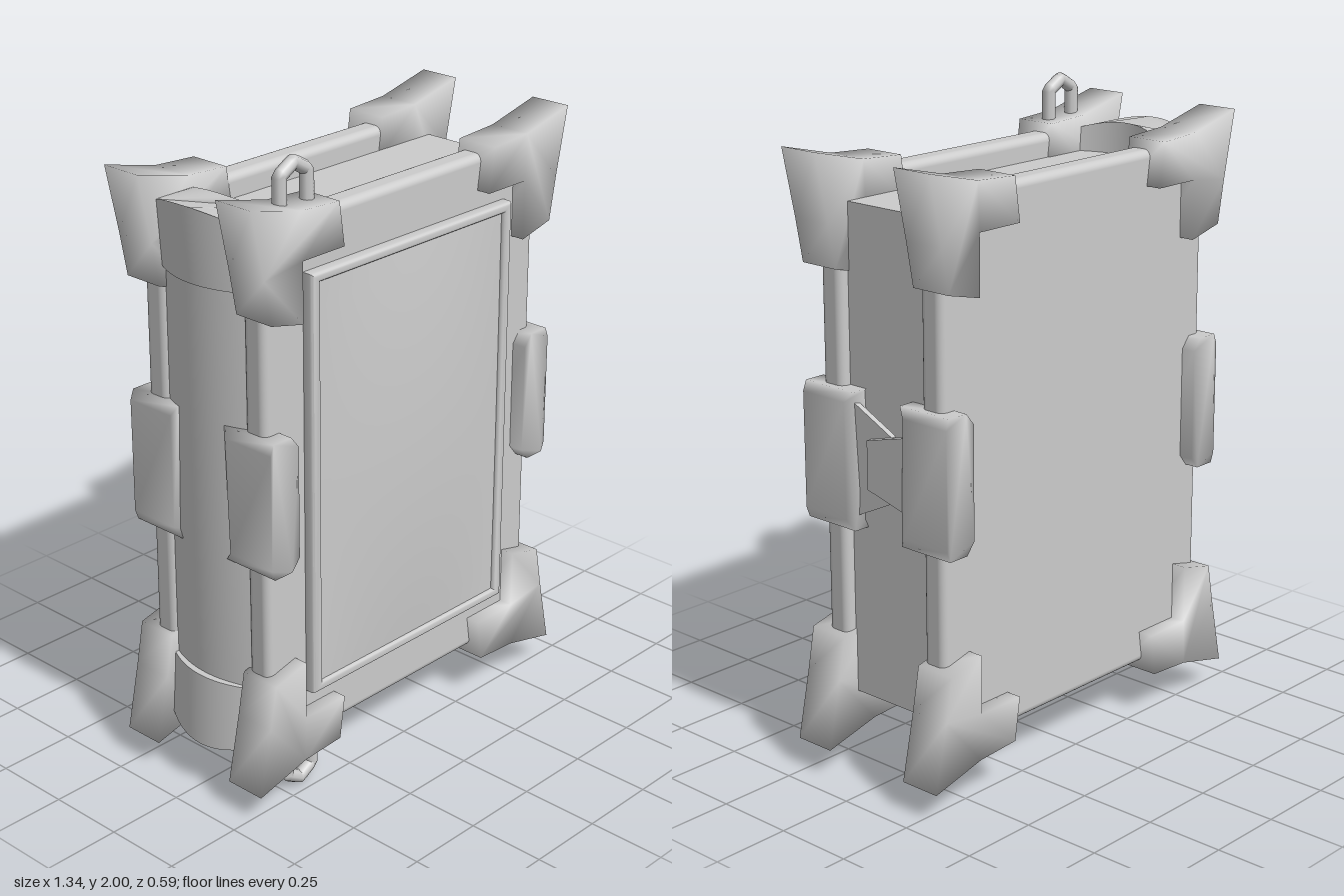
import * as THREE from 'three';
import { mergeVertices, toCreasedNormals } from 'three/addons/utils/BufferGeometryUtils.js';
import { RoundedBoxGeometry } from 'three/addons/geometries/RoundedBoxGeometry.js';

const material = new THREE.MeshStandardMaterial({ color: 0xcccccc });
const MID = 1; // height of the horizontal mirror plane

const shapeOf = (pts) => new THREE.Shape(pts.map(([x, y]) => new THREE.Vector2(x, y)));

const extrude = (shape, depth, options = {}) =>
  new THREE.ExtrudeGeometry(shape, { depth, bevelEnabled: false, ...options });

// Apply a rule to every vertex
function reshape(geometry, rule) {
  const p = geometry.attributes.position;
  const v = new THREE.Vector3();
  for (let i = 0; i < p.count; i++) {
    rule(v.fromBufferAttribute(p, i));
    p.setXYZ(i, v.x, v.y, v.z);
  }
  geometry.computeVertexNormals();
  return geometry;
}

// Share normals over all edges for a soft, cast-metal look
function soften(geometry) {
  geometry.deleteAttribute('uv');
  geometry.deleteAttribute('normal');
  const merged = mergeVertices(geometry, 1e-4);
  merged.computeVertexNormals();
  return merged;
}

// Band curved across the depth, standing between y0 and y1
function spineBand(edgeX, bulge, thickness, halfZ, y0, y1) {
  const outer = [], inner = [];
  for (let i = 0; i <= 14; i++) {
    const t = -1 + i / 7;
    const x = edgeX - bulge * (1 - t * t);
    outer.push([x, t * halfZ]);
    inner.unshift([x + thickness, t * halfZ]);
  }
  const g = extrude(shapeOf([...outer, ...inner]), y1 - y0);
  g.rotateX(-Math.PI / 2);
  g.translate(0, y0, 0);
  return g;
}

// L-shaped corner guard drawn out to a pointed horn
const CORNER = [[0.67, 0.912], [0.48, 0.866], [0.33, 0.857], [0.31, 0.72],
  [0.475, 0.72], [0.475, 0.535], [0.6, 0.565], [0.625, 0.7]];

// Edge bracket with chamfered inner corners
const BRACKET = [[0.5, -0.175], [0.53, -0.212], [0.6, -0.212], [0.612, -0.18],
  [0.612, 0.18], [0.6, 0.212], [0.53, 0.212], [0.5, 0.175]];

export function createModel() {
  const model = new THREE.Group();
  const add = (name, geometry, x = 0, y = 0, z = 0) => {
    const mesh = new THREE.Mesh(geometry, material);
    mesh.name = name;
    mesh.position.set(x, y + MID, z);
    model.add(mesh);
    return mesh;
  };

  // Page block, one half on each side of the opening
  for (const s of [1, -1]) {
    add(s > 0 ? 'frontPages' : 'backPages', new THREE.BoxGeometry(1.1, 1.51, 0.165), -0.003, 0, s * 0.0825);
  }

  // Covers with rounded edges
  add('frontCover', new RoundedBoxGeometry(1.165, 1.655, 0.085, 4, 0.025), -0.003, 0, 0.197);
  add('backCover', new RoundedBoxGeometry(1.165, 1.655, 0.085, 4, 0.025), -0.003, 0, -0.203);

  // Curved spine with a domed cap at each end
  add('spine', toCreasedNormals(spineBand(-0.57, 0.04, 0.1, 0.17, -0.8, 0.8), 0.6));
  for (const s of [1, -1]) {
    const cap = reshape(spineBand(-0.6, 0.046, 0.14, 0.165, -0.1, 0.1), (v) => {
      const dome = 1 - (v.z / 0.165) ** 2;
      if (v.y * s > 0) v.y += s * 0.03 * dome;
      else v.x += 0.015;
    });
    add(s > 0 ? 'topSpineCap' : 'bottomSpineCap', toCreasedNormals(cap, 0.6), 0, s * 0.725, 0);
  }

  // Raised frame on the front cover
  const frame = shapeOf([[-0.42, -0.655], [0.42, -0.655], [0.42, 0.655], [-0.42, 0.655]]);
  frame.holes.push(new THREE.Path(
    [[-0.405, -0.645], [-0.405, 0.645], [0.405, 0.645], [0.405, -0.645]]
      .map(([x, y]) => new THREE.Vector2(x, y))));
  add('panelFrame', toCreasedNormals(extrude(frame, 0.025, {
    bevelEnabled: true, bevelThickness: 0.012, bevelSize: 0.01, bevelSegments: 3,
  }), 0.7), 0, 0, 0.24);

  // Gently domed panel inside the frame
  const panel = reshape(new THREE.PlaneGeometry(0.81, 1.29, 16, 16), (v) => {
    v.z = 0.264 + 0.031 * (1 - (v.x / 0.405) ** 2) * (1 - (v.y / 0.645) ** 2);
  });
  add('frontPanel', panel);

  for (const front of [true, false]) {
    const side = front ? 'front' : 'back';
    const z0 = front ? 0.15 : -0.295;
    for (const sx of [1, -1]) {
      const hand = sx > 0 ? 'Left' : 'Right';
      // Corner guards
      for (const sy of [1, -1]) {
        const outline = CORNER.map(([x, y]) => [x * sx, y * sy]);
        add(`${side}${sy > 0 ? 'Top' : 'Bottom'}${hand}Corner`,
          soften(extrude(shapeOf(outline), 0.135)), 0, 0, z0);
      }
      // Edge brackets, flared at both ends towards the pages
      const outline = BRACKET.map(([x, y]) => [x * sx, y]);
      const bracket = extrude(shapeOf(outline), 0.17);
      bracket.translate(0, 0, front ? 0.117 : -0.292);
      reshape(bracket, (v) => {
        if (Math.abs(v.z) < 0.2 && Math.abs(v.y) > 0.2) v.z += front ? -0.027 : 0.022;
      });
      add(`${side}${hand}Bracket`, soften(bracket));
    }
  }

  // Two overlapping clasp tongues closing the fore edge
  const tongue = (name, pts, x0, x1) => {
    const g = extrude(shapeOf(pts), x1 - x0);
    g.rotateY(-Math.PI / 2);
    add(name, g, x1, 0, 0);
  };
  tongue('frontClasp', [[0.16, -0.2], [0.12, -0.18], [-0.045, -0.1], [-0.045, 0.1], [0.12, 0.18], [0.16, 0.2]], 0.562, 0.58);
  tongue('backClasp', [[-0.16, -0.12], [-0.12, -0.11], [0.035, -0.07], [0.035, 0.08], [-0.12, 0.12], [-0.16, 0.13]], 0.582, 0.602);

  // Pointed hanging loops above and below
  for (const s of [1, -1]) {
    const path = new THREE.CurvePath();
    const pts = [[-0.053, 0.8], [-0.053, 0.947], [0, 0.978], [0.053, 0.947], [0.053, 0.8]]
      .map(([x, y]) => new THREE.Vector3(x, y * s, 0));
    for (let i = 1; i < pts.length; i++) path.add(new THREE.LineCurve3(pts[i - 1], pts[i]));
    add(s > 0 ? 'topLoop' : 'bottomLoop', new THREE.TubeGeometry(path, 40, 0.021, 8), -0.435, 0, 0.21);
  }

  return model;
}
